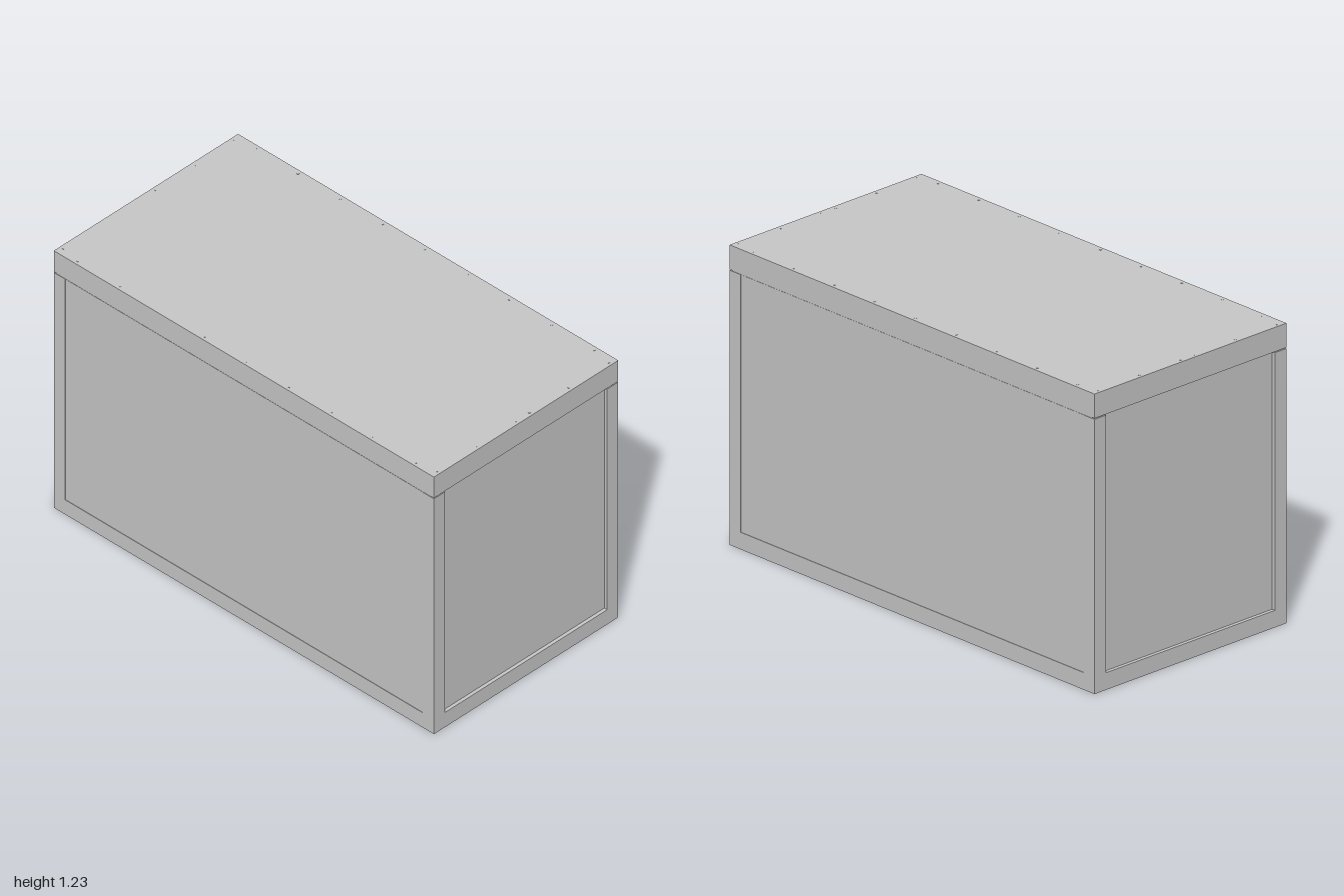
import * as THREE from 'three';

export function createModel() {
  const model = new THREE.Group();
  const grey = new THREE.MeshStandardMaterial({ color: 0xc8c8c8 });
  grey.name = 'plain grey';

  // Box given by its low and high corners
  function slab(name, x0, x1, y0, y1, z0, z1) {
    const mesh = new THREE.Mesh(new THREE.BoxGeometry(x1 - x0, y1 - y0, z1 - z0), grey);
    mesh.position.set((x0 + x1) / 2, (y0 + y1) / 2, (z0 + z1) / 2);
    mesh.name = name;
    model.add(mesh);
  }

  const baseTop = 0.07, lidBottom = 1.13, top = 1.23, post = 0.06, rim = 0.05;

  // Body with slightly recessed end panels
  slab('body', -0.985, 0.985, baseTop, lidBottom, -0.498, 0.498);

  // Corner posts
  for (const sx of [-1, 1]) for (const sz of [-1, 1]) {
    const x = sx * (1 - post / 2), z = sz * (0.5 - post / 2);
    slab('cornerPost', x - post / 2, x + post / 2, baseTop, lidBottom - 0.004, z - post / 2, z + post / 2);
  }

  // Front and back panels between the posts
  for (const s of [-1, 1]) {
    const z = s * 0.489;
    slab('sidePanel', -0.94, 0.94, baseTop + 0.002, lidBottom - 0.004, z - 0.01, z + 0.01);
  }

  // Lid
  slab('lid', -1, 1, lidBottom, top, -0.5, 0.5);

  // Base rim
  for (const s of [-1, 1]) {
    const z = s * (0.5 - rim / 2), x = s * (1 - rim / 2);
    slab('baseRail', -1, 1, 0, baseTop, z - rim / 2, z + rim / 2);
    slab('baseEnd', x - rim / 2, x + rim / 2, 0, baseTop, -0.5 + rim, 0.5 - rim);
  }

  // Beams beneath the floor, five bays by three
  const beam = 0.022;
  for (let i = -1.5; i <= 1.5; i++) {
    const x = i * 0.4;
    slab('crossBeam', x - beam, x + beam, 0, baseTop, -0.5 + rim, 0.5 - rim);
  }
  for (const s of [-0.155, 0.155]) {
    slab('longBeam', -1 + rim, 1 - rim, 0.002, baseTop, s - beam, s + beam);
  }

  // Blocks inside the base corners
  for (const sx of [-1, 1]) for (const sz of [-1, 1]) {
    const x = sx * 0.93, z = sz * 0.43;
    slab('cornerBlock', x - 0.02, x + 0.02, 0.002, baseTop, z - 0.02, z + 0.02);
  }

  // Screw heads around the lid
  const screwShape = new THREE.CylinderGeometry(0.005, 0.005, 0.002, 12);
  function screw(x, z) {
    const mesh = new THREE.Mesh(screwShape, grey);
    mesh.position.set(x, top, z);
    mesh.name = 'screw';
    model.add(mesh);
  }
  for (const s of [-1, 1]) {
    for (let i = -4; i <= 4; i++) screw(i * 0.2225, s * 0.482);
    for (const z of [-0.465, -0.25, -0.036, 0.036, 0.25, 0.465]) screw(s * 0.983, z);
  }

  return model;
}
